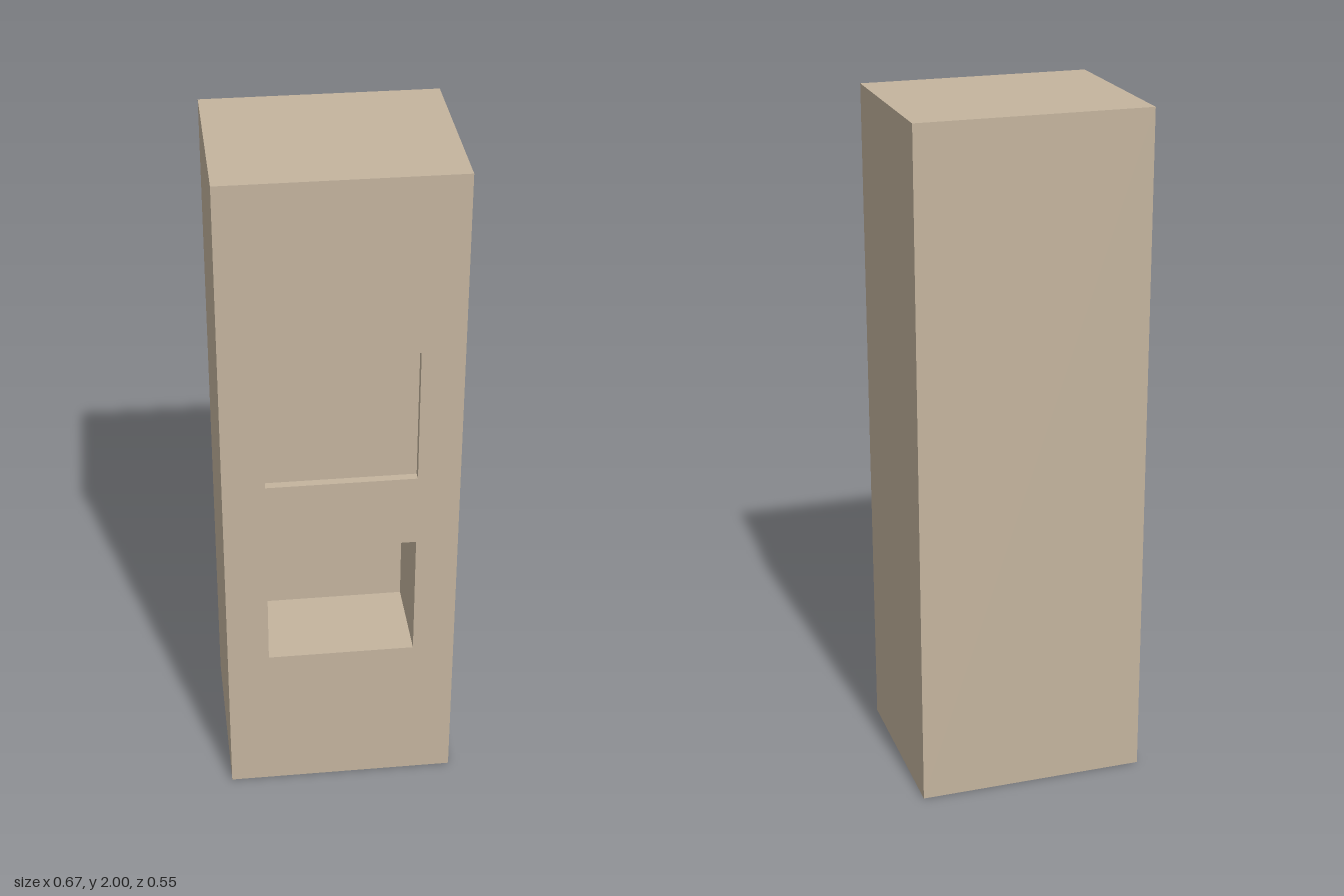
import * as THREE from 'three';

const W = 0.67, H = 2, D = 0.55;
const FRONT = D / 2;

// Recesses cut into the front face
const RECESSES = [
  { name: 'displayRecess', w: 0.428, bottom: 1.075, top: 1.481, depth: 0.025 },
  { name: 'dispenserRecess', w: 0.428, bottom: 0.471, top: 0.857, depth: 0.27 },
];

// Box without its +z face; inward turns the faces to the inside
function openBox(w, h, d, inward = false) {
  const geo = new THREE.BoxGeometry(w, h, d);
  const index = Array.from(geo.index.array);
  index.splice(24, 6);
  if (inward) {
    index.reverse();
    const n = geo.attributes.normal;
    for (let i = 0; i < n.count; i++) n.setXYZ(i, -n.getX(i), -n.getY(i), -n.getZ(i));
  }
  geo.clearGroups();
  geo.setIndex(index);
  return geo;
}

function rectangle(Type, w, bottom, top) {
  const r = new Type();
  r.moveTo(-w / 2, bottom);
  r.lineTo(w / 2, bottom);
  r.lineTo(w / 2, top);
  r.lineTo(-w / 2, top);
  r.closePath();
  return r;
}

export function createModel() {
  const model = new THREE.Group();
  model.name = 'cabinet';
  const beige = new THREE.MeshStandardMaterial({ color: 0xc4b49e });
  beige.name = 'beige';

  const add = (name, geometry, y, z) => {
    const mesh = new THREE.Mesh(geometry, beige);
    mesh.name = name;
    mesh.position.set(0, y, z);
    model.add(mesh);
  };

  // Sides, back, top and bottom
  add('casing', openBox(W, H, D), H / 2, 0);

  // Front face with the two openings
  const face = rectangle(THREE.Shape, W, 0, H);
  for (const r of RECESSES) face.holes.push(rectangle(THREE.Path, r.w, r.bottom, r.top));
  add('frontPanel', new THREE.ShapeGeometry(face), 0, FRONT);

  // Walls and back of each recess
  for (const r of RECESSES) {
    add(r.name, openBox(r.w, r.top - r.bottom, r.depth, true), (r.top + r.bottom) / 2, FRONT - r.depth / 2);
  }

  return model;
}
